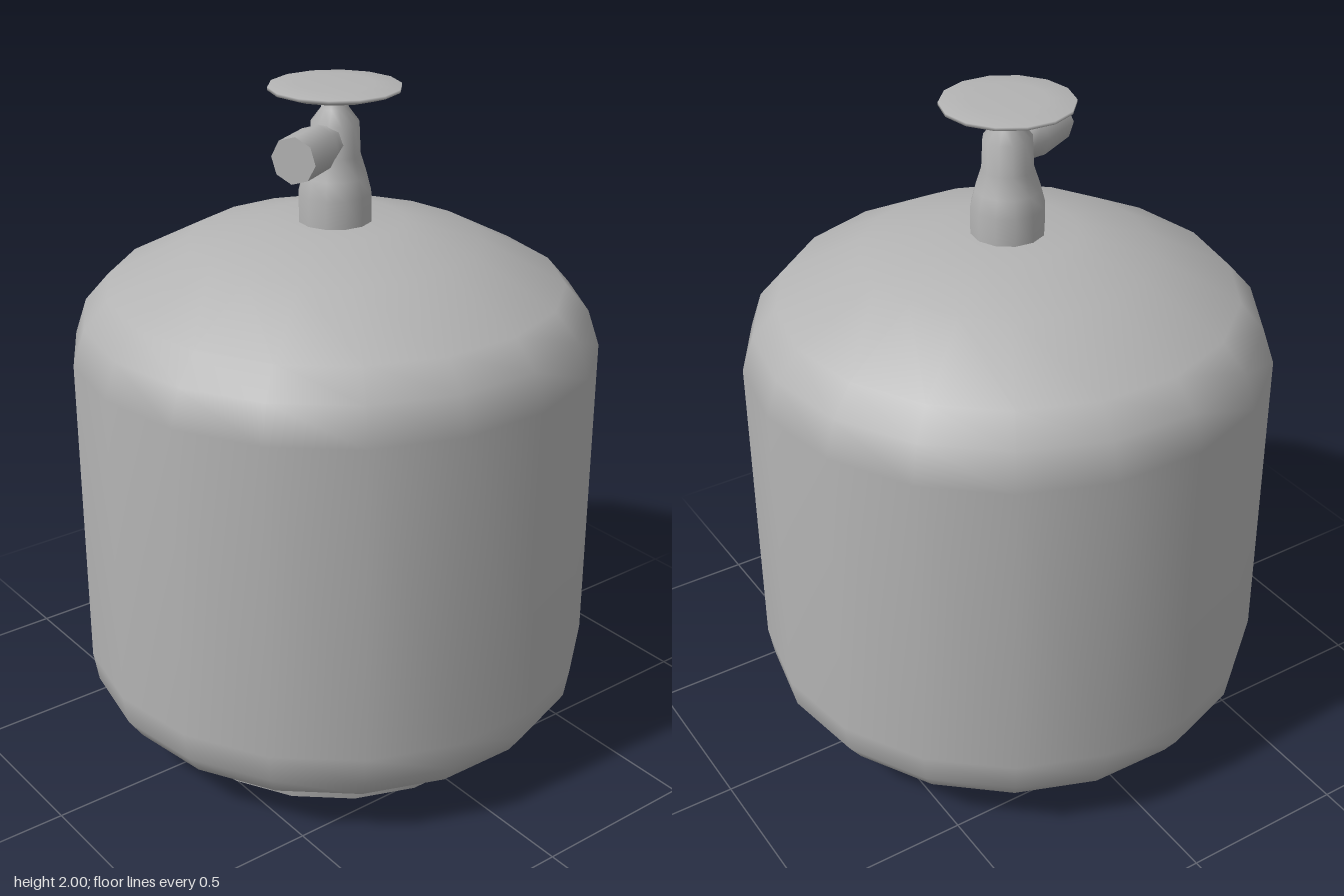
import * as THREE from 'three';

const steel = new THREE.MeshStandardMaterial({ color: 0xb3b3b3 });
steel.name = 'grey steel';

// Smooth turned part from a list of [radius, height] pairs, bottom to top
function turned(name, profile, sides, phase = 0) {
  const points = profile.map(([r, y]) => new THREE.Vector2(r, y));
  const mesh = new THREE.Mesh(new THREE.LatheGeometry(points, sides, phase), steel);
  mesh.name = name;
  return mesh;
}

export function createModel() {
  const group = new THREE.Group();
  group.name = 'gasCylinder';
  const phase = 0.152;

  // Foot ring with a recessed floor
  group.add(turned('footRing', [
    [0, 0.075], [0.51, 0.075], [0.515, 0], [0.532, 0], [0.532, 0.09],
  ], 18, phase));

  // Main vessel with rounded bottom and domed shoulder
  group.add(turned('tank', [
    [0.5, 0.078], [0.535, 0.082], [0.635, 0.1], [0.705, 0.145], [0.75, 0.21],
    [0.765, 0.3], [0.765, 1.245], [0.73, 1.35], [0.66, 1.43],
    [0.42, 1.555], [0.2, 1.61], [0, 1.61],
  ], 18, phase));

  // Valve body and stem
  group.add(turned('valveBody', [
    [0.106, 1.6], [0.106, 1.69], [0.093, 1.74], [0.074, 1.8],
    [0.07, 1.89], [0.04, 1.93], [0.034, 1.975],
  ], 12, phase));

  // Hand wheel
  group.add(turned('handWheel', [
    [0, 1.963], [0.05, 1.964], [0.15, 1.972], [0.187, 1.984],
    [0.187, 1.993], [0.11, 2], [0, 2],
  ], 14, phase));

  // Side outlet, turned along y then laid toward the front right
  const outlet = turned('outlet', [
    [0.05, 0.02], [0.05, 0.07], [0.066, 0.12], [0.066, 0.262],
  ], 8, Math.PI / 8);
  const end = new THREE.Mesh(new THREE.CircleGeometry(0.066, 8, Math.PI / 8), steel);
  end.name = 'outletEnd';
  end.rotation.x = -Math.PI / 2;
  end.position.y = 0.262;
  outlet.add(end);
  outlet.position.y = 1.845;
  outlet.quaternion.setFromUnitVectors(
    new THREE.Vector3(0, 1, 0), new THREE.Vector3(-0.887, 0, 0.462).normalize());
  group.add(outlet);

  return group;
}
